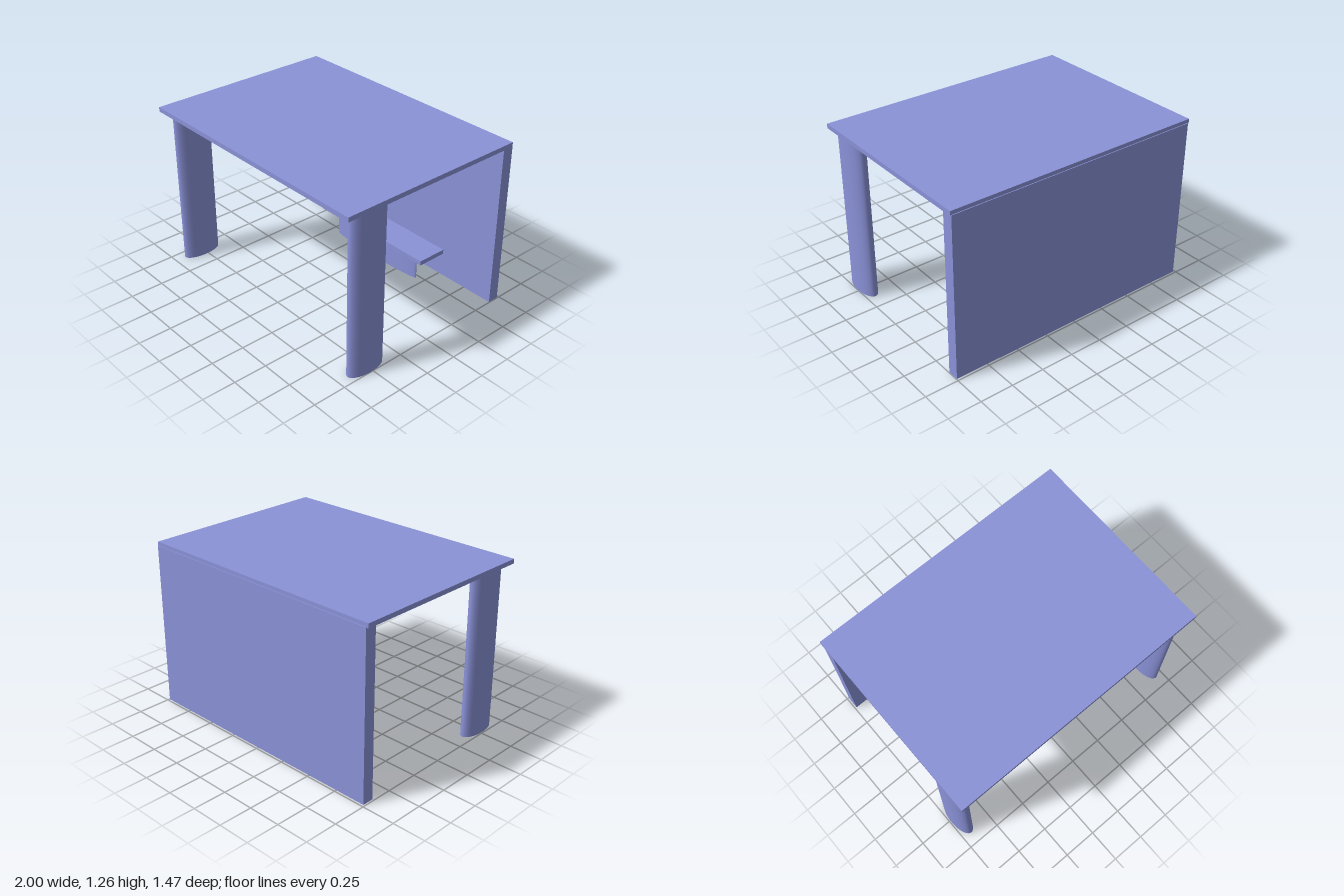
import * as THREE from 'three';

const material = new THREE.MeshStandardMaterial({ color: 0x8a92d8 });

// Box given by its min and max corners
function slab(name, [x0, y0, z0], [x1, y1, z1]) {
  const mesh = new THREE.Mesh(new THREE.BoxGeometry(x1 - x0, y1 - y0, z1 - z0), material);
  mesh.name = name;
  mesh.position.set((x0 + x1) / 2, (y0 + y1) / 2, (z0 + z1) / 2);
  return mesh;
}

// Upright elliptical pillar standing on the ground
function pillar(name, x, z, radiusX, radiusZ, height) {
  const geometry = new THREE.CylinderGeometry(1, 1, height, 40);
  geometry.scale(radiusX, 1, radiusZ);
  const mesh = new THREE.Mesh(geometry, material);
  mesh.name = name;
  mesh.position.set(x, height / 2, z);
  return mesh;
}

export function createModel() {
  const group = new THREE.Group();
  group.name = 'shelter';
  group.add(
    slab('roof', [-1, 1.228, -0.727], [1, 1.262, 0.733]),
    slab('backWall', [-0.987, 0, -0.733], [0.996, 1.234, -0.648]),
    // Front columns
    pillar('leftColumn', 0.936, 0.518, 0.064, 0.15, 1.23),
    pillar('rightColumn', -0.928, 0.518, 0.064, 0.15, 1.23),
    // Bench fixed to the back wall
    slab('benchSeat', [-0.552, 0.185, -0.66], [0.53, 0.22, -0.408]),
    pillar('benchLeg', 0, -0.472, 0.434, 0.036, 0.19)
  );
  return group;
}
